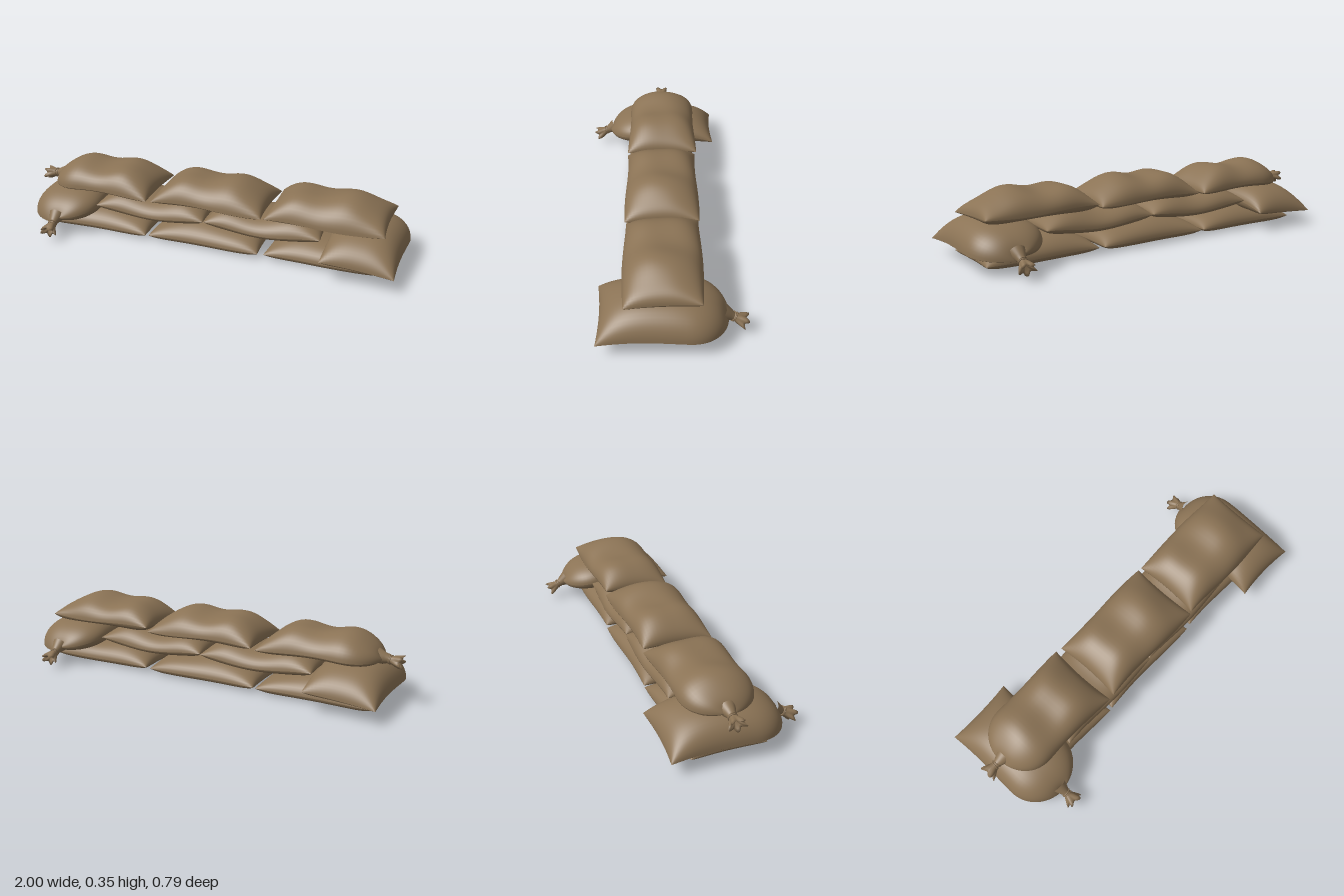
import * as THREE from 'three';
import { mergeVertices } from 'three/addons/utils/BufferGeometryUtils.js';

const burlap = new THREE.MeshStandardMaterial({ color: 0x8b7355 });
burlap.name = 'burlap';

const NU = 36, NV = 24;

// One cloth sheet of a sack, from its seam to its crown (side 1) or base (side -1)
function sheet(o, side) {
  const pos = [], index = [];
  const p = side > 0 ? 3 : 7, q = side > 0 ? 2.5 : 6;
  for (let i = 0; i <= NU; i++) {
    const u = Math.sin((i / NU - 0.5) * Math.PI);
    // the tied end narrows to a neck
    const t = Math.max(0, (u - 0.37) / 0.63);
    const w = o.tied ? Math.max(0.1, Math.sqrt(Math.max(0, 1 - t ** 2.2))) : 1;
    for (let j = 0; j <= NV; j++) {
      const v = Math.sin((j / NV - 0.5) * Math.PI);
      const puff = Math.sqrt(Math.max(0, (1 - Math.abs(u) ** p) * (1 - Math.abs(v) ** q)));
      const seam = o.seam(u, v);
      const goal = side > 0 ? o.top(u, v) : o.bottom(u, v);
      // open ends are pulled in slightly between their corners
      const x = o.L * u - 0.012 * u ** 5 * (1 - v * v);
      const z = o.W * v * w * (1 - 0.03 * Math.cos(u * 3 + o.phase));
      pos.push(x, seam + (goal - seam) * puff, z);
    }
  }
  for (let i = 0; i < NU; i++) {
    for (let j = 0; j < NV; j++) {
      const a = i * (NV + 1) + j, b = a + NV + 1;
      if (side > 0) index.push(a, a + 1, b, b, a + 1, b + 1);
      else index.push(a, b, a + 1, b, b + 1, a + 1);
    }
  }
  const g = new THREE.BufferGeometry();
  g.setAttribute('position', new THREE.Float32BufferAttribute(pos, 3));
  g.setIndex(index);
  g.computeVertexNormals();
  return g;
}

function add(parent, geometry, name) {
  const mesh = new THREE.Mesh(geometry, burlap);
  mesh.name = name;
  parent.add(mesh);
  return mesh;
}

// Gathered neck with cord loops and a ruffled mouth
function tiedNeck(tilt) {
  const neck = new THREE.Group();
  neck.name = 'tiedNeck';
  const profile = [[0, 0.058], [0.022, 0.085], [0.036, 0.094], [0.034, 0.08], [0.027, 0.06],
    [0.019, 0.042], [0.019, 0.03], [0.028, 0.01], [0.042, -0.025]]
    .reverse().map(([r, y]) => new THREE.Vector2(r, y));
  let g = new THREE.LatheGeometry(profile, 32);
  const P = g.attributes.position;
  for (let i = 0; i < P.count; i++) {
    const x = P.getX(i), y = P.getY(i), z = P.getZ(i), a = Math.atan2(z, x);
    const k = Math.max(0, y - 0.04) / 0.055;
    const s = 1 + 0.24 * k * Math.cos(5 * a);
    P.setXYZ(i, x * s * (1 - 0.2 * k), y + 0.007 * k * Math.cos(5 * a + 0.6), z * s * (1 + 0.1 * k));
  }
  g.deleteAttribute('uv');
  g.deleteAttribute('normal');
  g = mergeVertices(g);
  g.computeVertexNormals();
  add(neck, g, 'ruffle');
  [0.031, 0.041].forEach((y, i) => {
    const cord = add(neck, new THREE.TorusGeometry(0.021, 0.0035, 8, 24), 'cord');
    cord.position.y = y;
    cord.rotation.x = Math.PI / 2 + (i ? 0.15 : -0.1);
  });
  neck.rotation.z = -Math.PI / 2 - tilt;
  return neck;
}

function sack(name, o) {
  const group = new THREE.Group();
  group.name = name;
  add(group, sheet(o, 1), 'upperCloth');
  add(group, sheet(o, -1), 'lowerCloth');
  if (o.tied) {
    const neck = tiedNeck(o.tilt);
    neck.position.set(o.L - 0.008, o.seam(1, 0) + 0.008, 0);
    group.add(neck);
  }
  group.position.set(o.x, 0, o.z || 0);
  group.rotation.y = o.turn || 0;
  return group;
}

export function createModel() {
  const model = new THREE.Group();
  model.name = 'sandbagWall';

  // Bottom course: three flat sacks
  [-0.615, 0, 0.63].forEach((x, i) => model.add(sack('bottomSack', {
    x, L: 0.3, W: 0.182, phase: i,
    seam: () => 0.032,
    top: (u, v) => 0.116 + 0.006 * Math.cos(5 * u + i) * (1 - v * v),
    bottom: () => 0.002,
  })));

  // Middle course: two sagging sacks between crosswise end sacks
  [-0.3, 0.31].forEach((x, i) => model.add(sack('middleSack', {
    x, L: 0.303, W: 0.178, phase: i + 2,
    seam: (u) => 0.142 - 0.012 * Math.cos(u * 3),
    top: (u) => 0.222 - 0.018 * Math.cos(u * 4.5 + i * 0.4),
    bottom: (u) => 0.113 - 0.008 * Math.cos(u * 3),
  })));
  [-1, 1].forEach((side) => model.add(sack('endSack', {
    x: side < 0 ? -0.787 : 0.82, L: 0.3, W: 0.18, phase: 1.5,
    turn: side * Math.PI / 2, tied: true, tilt: 0.5,
    seam: (u, v) => 0.12 - 0.03 * u * u - 0.028 * v * (1 - 0.5 * u * u),
    top: (u, v) => 0.231 - 0.028 * u * u - 0.006 * v,
    bottom: (u, v) => 0.088 - 0.016 * u * u - 0.004 * v,
  })));

  // Top course: three two-humped sacks, the outer one tied
  [[-0.607, 0.297], [0.015, 0.297], [0.625, 0.3]].forEach(([x, L], i) => model.add(sack('topSack', {
    x, L, W: 0.182, phase: i * 1.4, z: i ? 0 : -0.004,
    turn: i ? 0 : Math.PI, tied: i === 0, tilt: 0.12,
    seam: (u, v) => 0.232 + 0.006 * Math.cos(u * 3 + i) - 0.008 * v * (i - 0.5),
    top: (u, v) => 0.345 - 0.011 * Math.cos(u * 6.5 + 0.4 * i) + 0.004 * Math.sin(4 * v + 3 * u),
    bottom: (u) => 0.214 + 0.006 * Math.cos(u * 3),
  })));

  return model;
}
